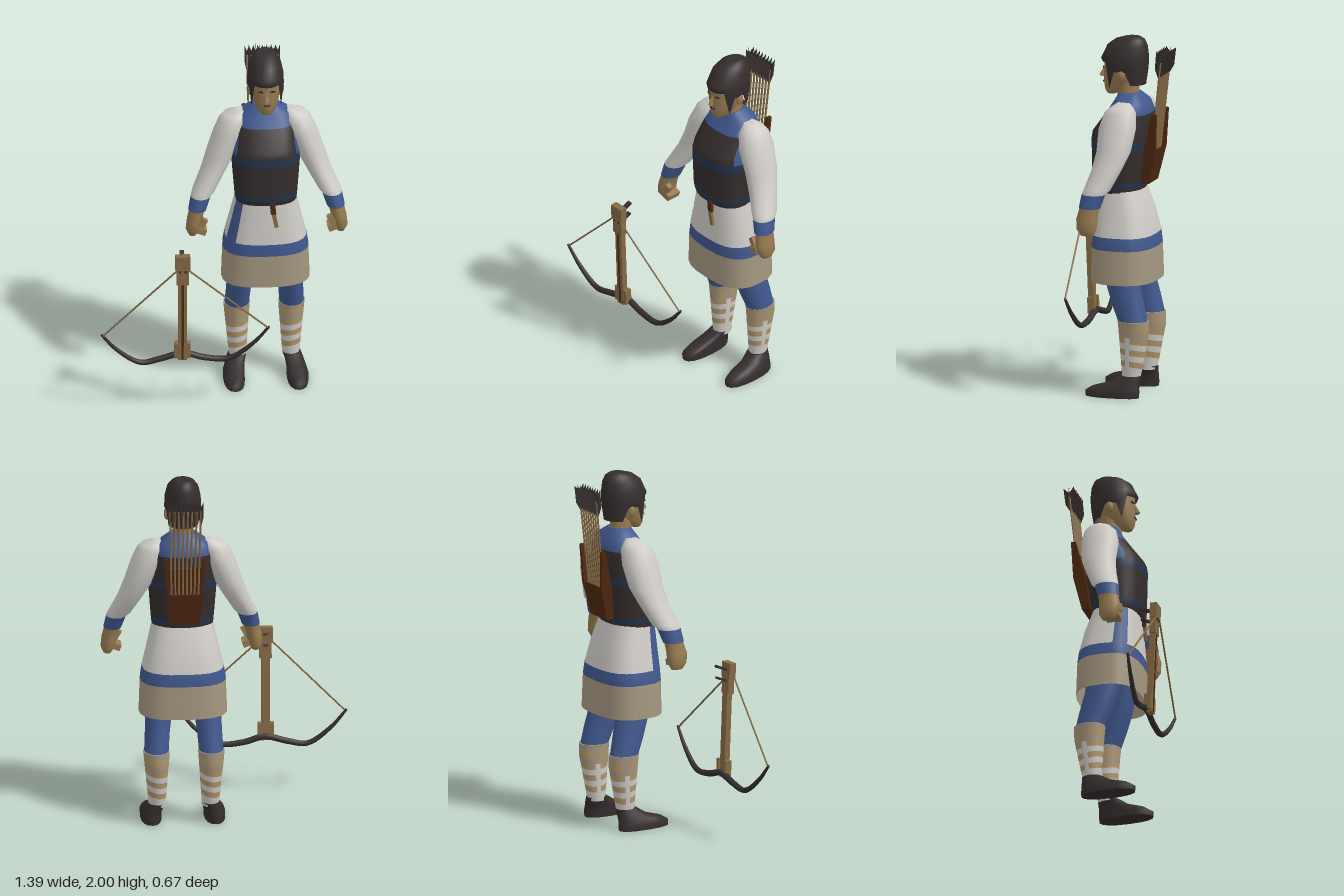
import * as THREE from 'three';

const mat = (name, color) => {
  const m = new THREE.MeshStandardMaterial({ color, side: THREE.DoubleSide });
  m.name = name;
  return m;
};

const CX = 0.245; // body centre line

export function createModel() {
  const white = mat('white cloth', 0xcfccc7), beige = mat('beige cloth', 0xa3967f),
    blue = mat('blue cloth', 0x40598f), navy = mat('dark blue belt', 0x26344a),
    dark = mat('dark leather', 0x352d2d), skin = mat('skin', 0x967a50),
    wood = mat('wood', 0x856a45), brown = mat('quiver brown', 0x4e2810),
    tan = mat('tan wrap', 0xb1966a);
  const model = new THREE.Group();

  const add = (name, geo, material, parent = model) => {
    const m = new THREE.Mesh(geo, material);
    m.name = name;
    parent.add(m);
    return m;
  };
  const box = (name, size, pos, material, parent) => {
    const m = add(name, new THREE.BoxGeometry(...size), material, parent);
    m.position.set(...pos);
    return m;
  };
  const rod = (name, a, b, r, material, parent) => {
    const A = new THREE.Vector3(...a), B = new THREE.Vector3(...b), d = B.clone().sub(A);
    const m = add(name, new THREE.CylinderGeometry(r, r, d.length(), 6), material, parent);
    m.position.copy(A).add(B).multiplyScalar(0.5);
    m.quaternion.setFromUnitVectors(new THREE.Vector3(0, 1, 0), d.normalize());
    return m;
  };

  // Loft through level rings, bottom to top: [y or y(angle), centre x, half width, front z, back z].
  // pick(band, column) gives the material of each face.
  const loft = (name, rings, pick, { n = 16, p = 1, caps = true } = {}) => {
    const pos = [], sets = new Map();
    const bend = (v) => Math.sign(v) * Math.abs(v) ** p;
    const put = (m, ...ids) => {
      if (!sets.has(m)) sets.set(m, []);
      sets.get(m).push(...ids);
    };
    const ring = ([y, cx, rx, zf, zb]) => {
      for (let j = 0; j < n; j++) {
        const a = (j / n) * Math.PI * 2;
        pos.push(cx + rx * bend(Math.sin(a)), typeof y === 'function' ? y(a) : y,
          (zf + zb) / 2 + ((zf - zb) / 2) * bend(Math.cos(a)));
      }
    };
    rings.forEach(ring);
    for (let i = 0; i < rings.length - 1; i++) for (let j = 0; j < n; j++) {
      const k = (j + 1) % n, a = i * n + j, b = i * n + k;
      put(pick(i, j), a, b, b + n, a, b + n, a + n);
    }
    if (caps) [0, rings.length - 1].forEach((i) => {
      const s = pos.length / 3;
      ring(rings[i]);
      for (let j = 1; j < n - 1; j++) {
        if (i) put(pick(i - 1, 0), s, s + j, s + j + 1);
        else put(pick(0, 0), s, s + j + 1, s + j);
      }
    });
    const geo = new THREE.BufferGeometry(), index = [], mats = [];
    for (const [m, ids] of sets) {
      geo.addGroup(index.length, ids.length, mats.length);
      mats.push(m);
      index.push(...ids);
    }
    geo.setAttribute('position', new THREE.Float32BufferAttribute(pos, 3));
    geo.setIndex(index);
    geo.computeVertexNormals();
    return add(name, geo, mats);
  };

  // Torso: belts, leather vest with blue sides, blue collar
  const vest = (j) => (j % 12 <= 3 || j % 12 >= 8 ? dark : blue);
  loft('torso', [
    [1.14, CX, 0.17, 0.085, -0.18], [1.165, CX, 0.173, 0.095, -0.185], [1.2, CX, 0.176, 0.1, -0.19],
    [1.38, CX, 0.19, 0.103, -0.215], [1.43, CX, 0.187, 0.106, -0.222], [1.47, CX, 0.178, 0.1, -0.226],
    [1.58, CX, 0.165, 0.02, -0.228], [1.64, CX, 0.14, -0.02, -0.205], [1.69, CX, 0.065, -0.045, -0.16],
  ], (i, j) => [dark, navy, dark, navy, vest(j), vest(j), blue, blue][i], { n: 24, p: 0.78 });

  // Skirt with a blue side stripe and hem band
  loft('skirt', [
    [0.64, CX, 0.245, 0.097, -0.268], [0.83, CX, 0.238, 0.096, -0.262], [0.9, CX, 0.226, 0.093, -0.255],
    [1.03, CX, 0.195, 0.085, -0.225], [1.155, CX, 0.167, 0.075, -0.18],
  ], (i, j) => (i === 0 ? beige : i === 1 || j === 19 || j === 20 ? blue : white), { n: 24, p: 0.75, caps: false });
  box('beltTassel', [0.03, 0.07, 0.016], [0.275, 1.125, 0.09], brown).rotation.z = 0.1;
  box('tasselEnd', [0.022, 0.08, 0.014], [0.287, 1.05, 0.093], wood).rotation.z = 0.2;

  for (const s of [-1, 1]) {
    const at = (d) => CX + s * d;

    // Arm: fist, cuff and sleeve
    loft('arm', [
      [0.95, at(0.41), 0.022, 0.05, -0.02], [0.985, at(0.408), 0.04, 0.075, -0.04],
      [1.04, at(0.4), 0.042, 0.08, -0.042], [1.1, at(0.385), 0.043, 0.065, -0.045],
      [1.1, at(0.383), 0.05, 0.07, -0.052], [1.175, at(0.363), 0.056, 0.06, -0.075],
      [1.2, at(0.347), 0.063, 0.052, -0.1], [1.3, at(0.295), 0.069, 0.025, -0.145],
      [1.4, at(0.25), 0.08, 0.01, -0.185], [1.52, at(0.205), 0.086, 0.012, -0.2],
      [1.6, at(0.176), 0.08, -0.01, -0.19], [1.63, at(0.165), 0.065, -0.04, -0.17],
      [1.65, at(0.135), 0.03, -0.07, -0.14],
    ], (i) => (i < 4 ? skin : i === 4 ? blue : white));
    box('fingers', [0.05, 0.035, 0.085], [at(0.362), 0.985, 0.03], skin).rotation.z = s * 0.35;
    box('thumb', [0.03, 0.055, 0.03], [at(0.355), 1.035, 0.06], skin).rotation.z = s * 0.5;

    // Legging
    loft('thigh', [
      [0.42, at(0.152), 0.068, -0.085, -0.25], [0.52, at(0.145), 0.069, -0.045, -0.23],
      [0.64, at(0.135), 0.075, -0.005, -0.2], [0.78, at(0.12), 0.08, 0.02, -0.19],
    ], () => blue);

    // Calf with slanted wrappings
    const calf = [];
    for (let i = 0; i <= 10; i++) {
      const t = i / 10, slant = i % 10 ? 0.012 : 0;
      calf.push([(a) => 0.1 + 0.33 * t + slant * Math.sin(a + 0.6), at(0.147 + 0.005 * t),
        0.047 + 0.027 * t, -0.105 + 0.025 * t, -0.205 - 0.052 * Math.min(1, t * 1.25)]);
    }
    loft('calfWrap', calf, (i, j) => (i === 9 ? beige : i > 1 && i % 2 === 0 && j % 8 !== 3 ? tan : i > 6 ? beige : white));

    // Shoe with the toe turned slightly outward
    loft('shoe', [
      [0, at(0.176), 0.058, 0.1, -0.21], [0.03, at(0.176), 0.06, 0.1, -0.212],
      [0.055, at(0.172), 0.055, 0.06, -0.21], [0.08, at(0.165), 0.052, -0.03, -0.21],
      [0.12, at(0.15), 0.05, -0.095, -0.21],
    ], () => dark, { p: 0.85 });

    const ear = add('ear', new THREE.SphereGeometry(1, 8, 6), skin);
    ear.scale.set(0.016, 0.035, 0.024);
    ear.position.set(at(0.088), 1.79, -0.075);
    box('eye', [0.026, 0.008, 0.006], [at(0.034), 1.825, 0.043], dark).rotation.y = s * 0.3;
  }

  // Neck and head
  loft('neck', [[1.64, CX, 0.07, -0.03, -0.17], [1.7, CX, 0.058, -0.03, -0.15], [1.78, CX, 0.06, -0.02, -0.16]], () => skin);
  loft('face', [
    [1.675, CX, 0.026, 0.03, -0.02], [1.7, CX, 0.052, 0.043, -0.08], [1.75, CX, 0.073, 0.05, -0.14],
    [1.82, CX, 0.087, 0.048, -0.17], [1.88, CX, 0.09, 0.045, -0.18],
  ], () => skin);
  const nose = add('nose', new THREE.ConeGeometry(0.017, 0.065, 4), skin);
  nose.position.set(CX, 1.8, 0.053);
  nose.rotation.x = -0.25;
  box('mouth', [0.036, 0.007, 0.006], [CX, 1.742, 0.049], dark);

  // Hair: lower edge drops at the temples and at the back
  const edge = (a) => {
    const d = THREE.MathUtils.radToDeg(Math.min(a, Math.PI * 2 - a));
    return d < 46 ? 1.855 : d < 68 ? 1.715 : d < 112 ? 1.81 : 1.735;
  };
  loft('hair', [
    [edge, CX, 0.094, 0.056, -0.19], [(a) => Math.max(1.83, edge(a) + 0.02), CX, 0.102, 0.064, -0.204],
    [1.89, CX, 0.1, 0.056, -0.206], [1.95, CX, 0.087, 0.028, -0.2],
    [1.985, CX, 0.064, -0.02, -0.185], [2.0, CX, 0.04, -0.07, -0.16],
  ], () => dark, { n: 24, caps: false });
  const crown = add('hairCrown', new THREE.CircleGeometry(1, 24), dark);
  crown.rotation.x = -Math.PI / 2;
  crown.scale.set(0.04, 0.045, 1);
  crown.position.set(CX, 2.0, -0.115);

  // Quiver: side profiles (z, y) extruded across x, narrower at the base
  const quiver = new THREE.Group();
  quiver.name = 'quiver';
  quiver.position.x = CX;
  model.add(quiver);
  const slab = (name, pts, x, width) => {
    const g = new THREE.ExtrudeGeometry(new THREE.Shape(pts.map((q) => new THREE.Vector2(...q))),
      { depth: width, bevelEnabled: false });
    g.rotateY(-Math.PI / 2).translate(x + width / 2, 0, 0);
    const P = g.attributes.position;
    for (let i = 0; i < P.count; i++) P.setX(i, P.getX(i) * (0.72 + 0.28 * (P.getY(i) - 1.19) / 0.4));
    g.computeVertexNormals();
    add(name, g, brown, quiver);
  };
  slab('quiverBody', [[-0.19, 1.19], [-0.235, 1.19], [-0.277, 1.38], [-0.21, 1.36]], 0, 0.2);
  slab('quiverPanel', [[-0.205, 1.35], [-0.22, 1.35], [-0.266, 1.53], [-0.25, 1.53]], 0, 0.2);
  for (const s of [-1, 1])
    slab('quiverRail', [[-0.19, 1.19], [-0.235, 1.19], [-0.28, 1.38], [-0.288, 1.59], [-0.262, 1.59], [-0.21, 1.37]], s * 0.106, 0.02);

  // Arrows with notched crossed fletching
  const feather = new THREE.Shape([[0, 0], [0.028, 0.06], [0.03, 0.16], [0, 0.125], [-0.03, 0.16], [-0.028, 0.06]]
    .map((q) => new THREE.Vector2(...q)));
  for (let i = 0; i < 8; i++) {
    const x = (i - 3.5) * 0.0245;
    rod('arrowShaft', [x * 0.85, 1.3, -0.245], [x, 1.88, -0.305], 0.006, wood, quiver);
    for (const turn of [0, 1]) {
      const f = add('fletching', new THREE.ShapeGeometry(feather), dark, quiver);
      f.position.set(x, 1.78, -0.294);
      f.rotation.set(-0.1, turn * Math.PI / 2, 0);
      if (!turn) f.scale.x = 0.45;
    }
  }

  // Crossbow stock
  const stock = new THREE.Group();
  stock.name = 'crossbowStock';
  stock.position.set(-0.24, 0.635, 0.29);
  stock.rotation.x = 0.04;
  model.add(stock);
  box('butt', [0.082, 0.085, 0.04], [0, 0.285, 0.005], wood, stock);
  box('grip', [0.068, 0.1, 0.036], [0, 0.2, 0.003], wood, stock);
  box('tiller', [0.048, 0.49, 0.032], [0, -0.08, 0], wood, stock);
  box('boltGroove', [0.012, 0.48, 0.006], [0, -0.08, 0.017], brown, stock);
  for (const s of [-1, 1]) {
    box('bowLug', [0.022, 0.09, 0.04], [s * 0.034, -0.27, -0.005], wood, stock);
    box('nutPin', [0.012, 0.012, 0.008], [s * 0.016, 0.235, 0.022], dark, stock);
  }
  box('trigger', [0.025, 0.014, 0.075], [0, 0.3, -0.045], dark, stock).rotation.x = 0.35;
  box('triggerGuard', [0.025, 0.012, 0.07], [0, 0.235, -0.04], dark, stock).rotation.x = 0.35;

  // Bow limbs, thinning towards the tips
  const path = new THREE.CatmullRomCurve3([
    [-0.688, 0.475, 0.28], [-0.6, 0.375, 0.272], [-0.47, 0.288, 0.262], [-0.36, 0.305, 0.258], [-0.235, 0.335, 0.258],
    [-0.11, 0.303, 0.258], [0.02, 0.298, 0.262], [0.15, 0.388, 0.272], [0.24, 0.492, 0.28],
  ].map((q) => new THREE.Vector3(...q)));
  const limbs = new THREE.TubeGeometry(path, 40, 0.018, 8);
  const P = limbs.attributes.position, v = new THREE.Vector3();
  for (let i = 0; i < P.count; i++) {
    const t = Math.floor(i / 9) / 40;
    v.fromBufferAttribute(P, i).lerp(path.getPointAt(t), 0.6 * Math.abs(2 * t - 1) ** 2);
    P.setXYZ(i, v.x, v.y, v.z);
  }
  add('bowLimbs', limbs, dark);
  rod('bowstring', [-0.683, 0.465, 0.282], [-0.27, 0.88, 0.322], 0.005, wood);
  rod('bowstring', [0.236, 0.485, 0.282], [-0.21, 0.88, 0.322], 0.005, wood);
  rod('bowstring', [-0.272, 0.88, 0.322], [-0.208, 0.88, 0.322], 0.005, wood);

  return model;
}
